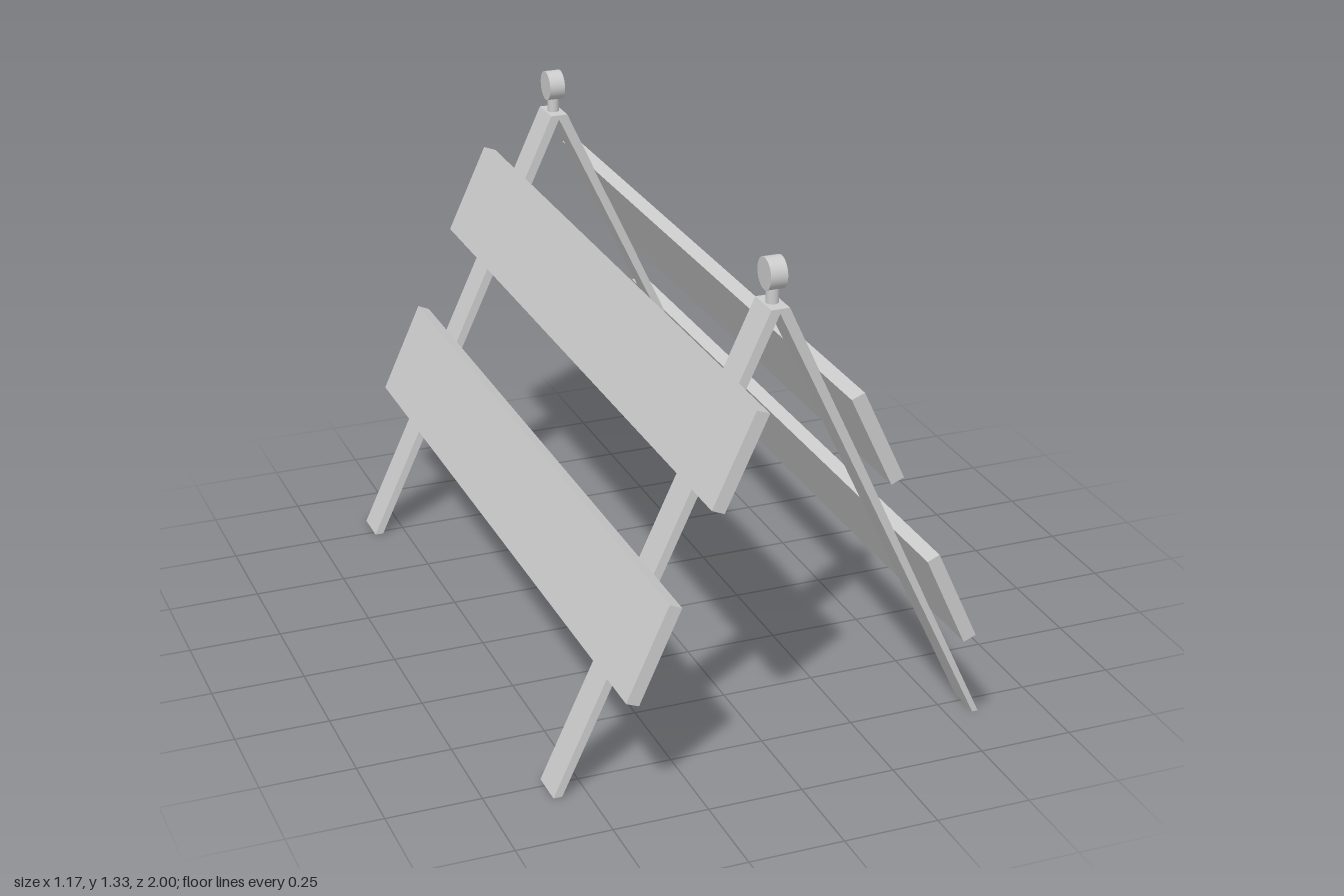
import * as THREE from 'three';

const material = new THREE.MeshStandardMaterial({ color: 0xcccccc, side: THREE.DoubleSide });

// Extrudes an x/y outline along z, centred on the given z
function slab(name, points, depth, z) {
  const shape = new THREE.Shape(points.map(([x, y]) => new THREE.Vector2(x, y)));
  const geometry = new THREE.ExtrudeGeometry(shape, { depth, bevelEnabled: false });
  geometry.translate(0, 0, z - depth / 2);
  const mesh = new THREE.Mesh(geometry, material);
  mesh.name = name;
  return mesh;
}

export function createModel() {
  const model = new THREE.Group();
  model.name = 'barricade';
  const frameZ = [0.766, -0.782];

  // Leg outlines leaning together at the top; one is slightly slimmer at the foot
  const legs = {
    left: [[0.584, 0], [0.025, 1.215], [0, 1.215], [0, 1.203], [0.568, 0]],
    right: [[-0.587, 0], [-0.023, 1.215], [0, 1.215], [0, 1.203], [-0.564, 0]],
  };
  // Board outlines lying on the outer faces of the legs
  const boards = {
    upperBoard: [[0.104, 1.04], [0.138, 1.053], [0.249, 0.814], [0.216, 0.8]],
    lowerBoard: [[0.322, 0.572], [0.354, 0.586], [0.465, 0.342], [0.432, 0.329]],
  };

  for (const z of frameZ) {
    for (const side in legs) model.add(slab(side + 'Leg', legs[side], 0.097, z));

    // Warning lamp: upright stem and a disc facing sideways
    const lamp = new THREE.Group();
    lamp.name = 'lamp';
    const stem = new THREE.Mesh(new THREE.CylinderGeometry(0.016, 0.016, 0.055, 24), material);
    stem.name = 'lampStem';
    stem.position.y = 1.2375;
    const disc = new THREE.Mesh(new THREE.CylinderGeometry(0.041, 0.041, 0.044, 32), material);
    disc.name = 'lampDisc';
    disc.rotation.z = Math.PI / 2;
    disc.position.y = 1.291;
    lamp.add(stem, disc);
    lamp.position.z = z;
    model.add(lamp);
  }

  // Long boards, mirrored on both sides
  for (const name in boards) {
    for (const s of [1, -1]) {
      const outline = boards[name].map(([x, y]) => [s * x, y]);
      model.add(slab((s > 0 ? 'left ' : 'right ') + name, outline, 2, 0));
    }
  }
  return model;
}
